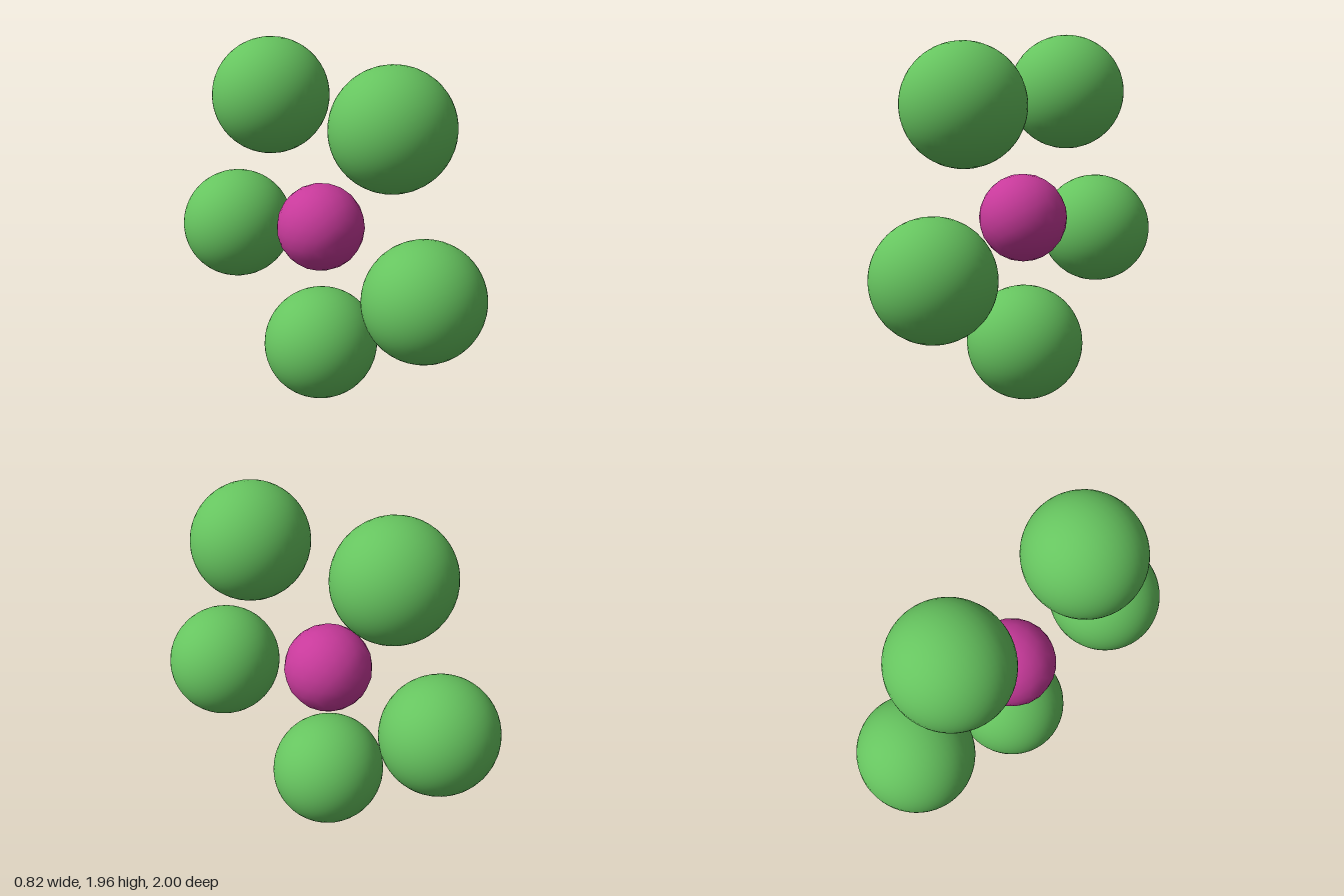
import * as THREE from 'three';

export function createModel() {
  const model = new THREE.Group();
  const green = new THREE.MeshStandardMaterial({ color: 0x66c45f });
  const pink = new THREE.MeshStandardMaterial({ color: 0xc83a9b });

  // Ring of outer balls, slightly stretched along the ring's axis
  const ball = new THREE.SphereGeometry(0.31, 40, 28);
  ball.rotateZ(Math.PI / 2);
  ball.scale(1.023, 1, 1);
  const centres = [
    [-0.065, 1.622, 0.462],
    [0.05, 1.655, -0.388],
    [0.089, 0.853, -0.688],
    [0, 0.316, -0.018],
    [-0.096, 0.792, 0.69],
  ];
  const ring = new THREE.Group();
  ring.name = 'outerRing';
  centres.forEach((c, i) => {
    const mesh = new THREE.Mesh(ball, green);
    mesh.name = `outerBall${i + 1}`;
    mesh.position.set(...c);
    mesh.rotation.y = -0.13; // the ring leans about the vertical
    ring.add(mesh);
  });
  model.add(ring);

  // Small, coarser ball in the middle
  const core = new THREE.Mesh(new THREE.IcosahedronGeometry(0.235, 3), pink);
  core.name = 'centreBall';
  core.position.set(-0.007, 1.003, -0.013);
  model.add(core);

  return model;
}
